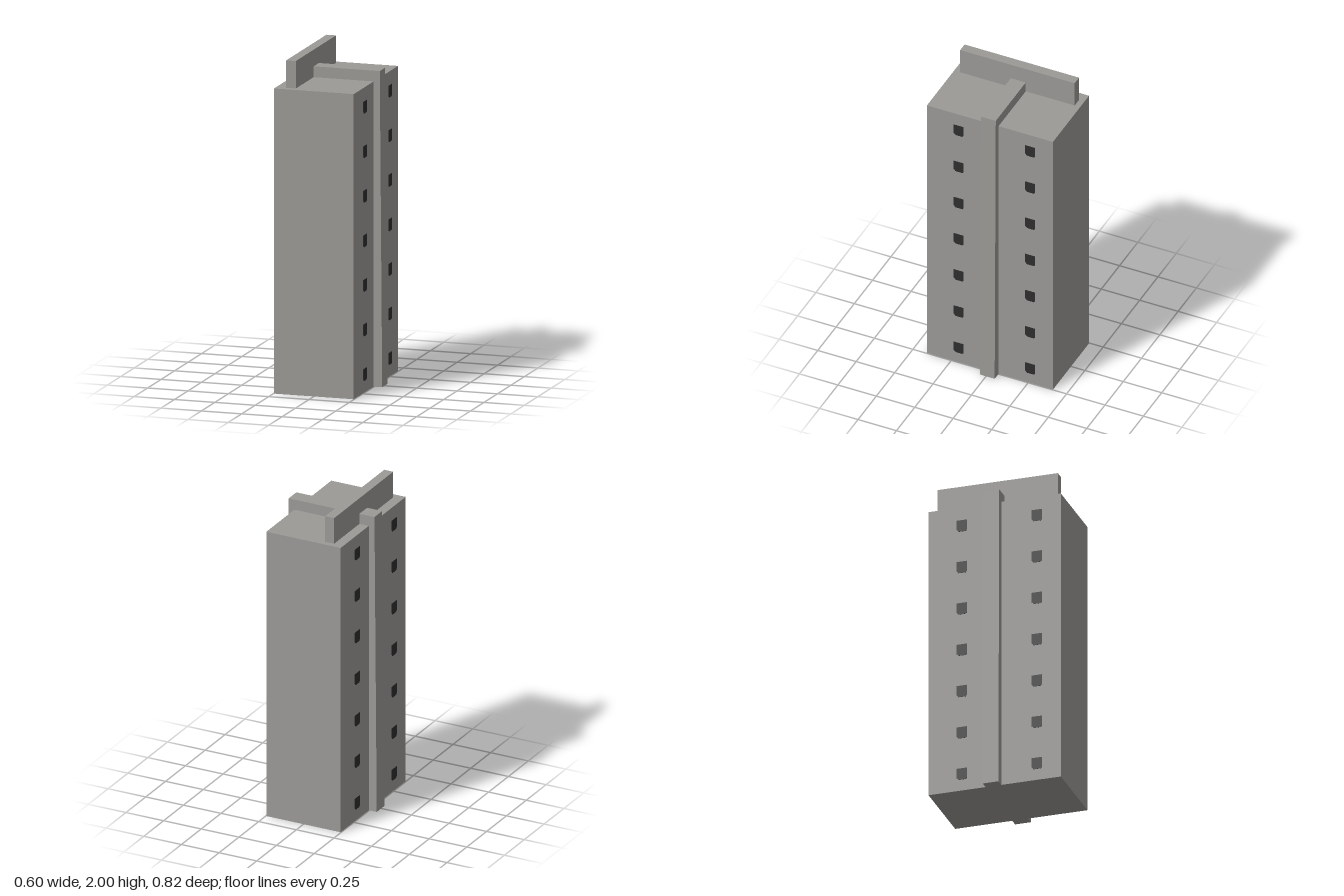
import * as THREE from 'three';

export function createModel() {
  const model = new THREE.Group();
  const concrete = new THREE.MeshStandardMaterial({ name: 'concrete grey', color: 0x9b9a97 });
  const glass = new THREE.MeshStandardMaterial({ name: 'dark window', color: 0x2e2e2e });

  const add = (name, geometry, material, x, y, z) => {
    const mesh = new THREE.Mesh(geometry, material);
    mesh.name = name;
    mesh.position.set(x, y, z);
    model.add(mesh);
    return mesh;
  };

  // Main block and roof wall
  add('towerBlock', new THREE.BoxGeometry(0.494, 1.835, 0.82), concrete, 0, 0.9175, 0);
  add('roofWall', new THREE.BoxGeometry(0.06, 0.165, 0.745), concrete, -0.155, 1.9175, -0.002);

  // Central band around the block, tapering slightly upward
  const band = new THREE.Shape([
    new THREE.Vector2(-0.3, 0), new THREE.Vector2(0.3, 0),
    new THREE.Vector2(0.285, 1.9), new THREE.Vector2(-0.285, 1.9),
  ]);
  add('centralBand', new THREE.ExtrudeGeometry(band, { depth: 0.097, bevelEnabled: false }),
    concrete, 0, 0, -0.056);

  // Small window plates with clipped lower corners
  const pane = new THREE.Shape([
    new THREE.Vector2(-0.032, 0.036), new THREE.Vector2(-0.032, -0.024),
    new THREE.Vector2(-0.02, -0.037), new THREE.Vector2(0.024, -0.037),
    new THREE.Vector2(0.032, -0.028), new THREE.Vector2(0.032, 0.036),
  ]);
  const paneGeometry = new THREE.ExtrudeGeometry(pane, { depth: 0.004, bevelEnabled: false });
  for (const side of [1, -1]) {
    for (const z of [0.203, -0.262]) {
      for (let floor = 0; floor < 7; floor++) {
        const window = add('window', paneGeometry, glass, side * 0.245, 0.108 + floor * 0.268, side * z);
        window.rotation.y = side * Math.PI / 2;
      }
    }
  }
  return model;
}
